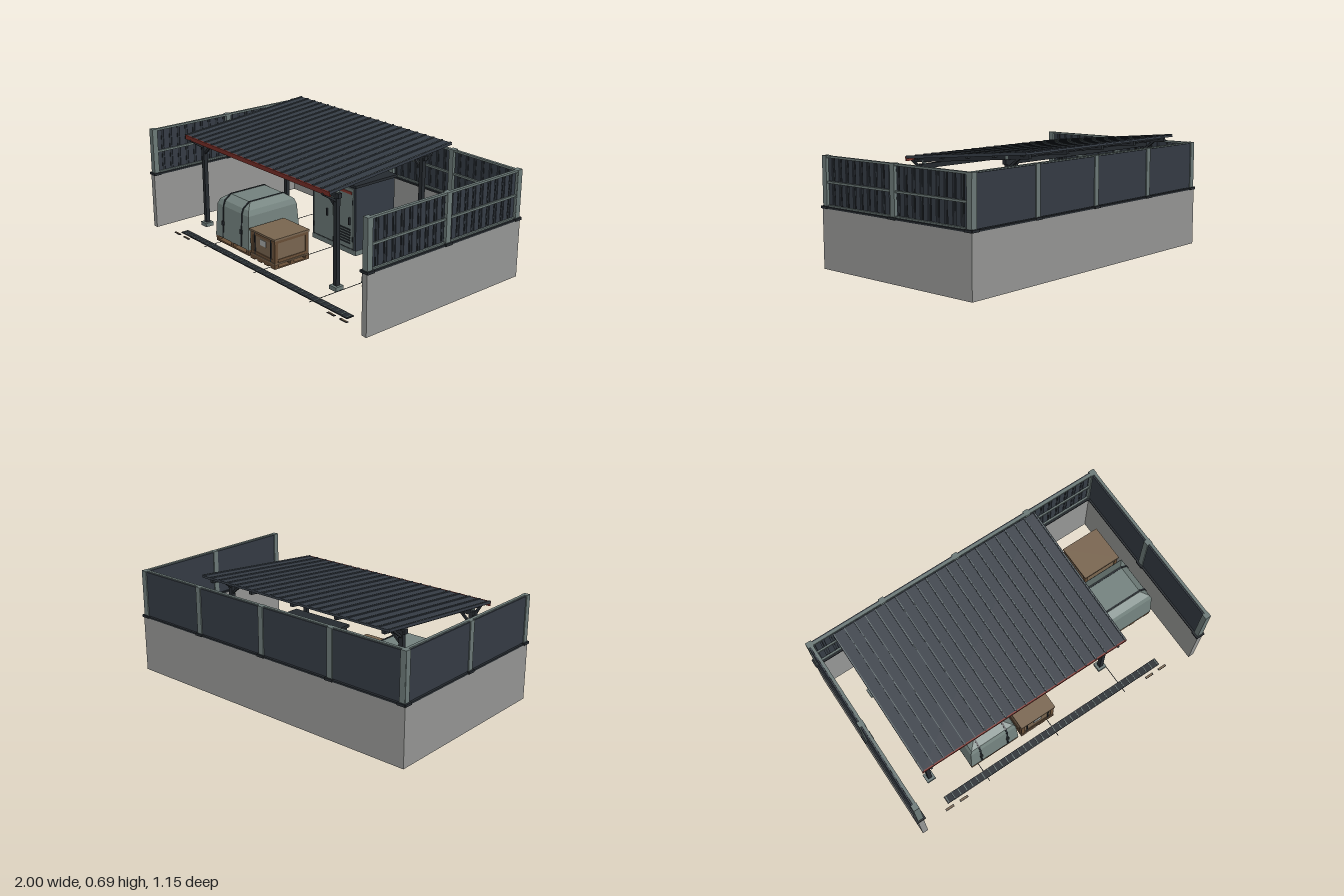
import * as THREE from 'three';

const paint = (name, color) => Object.assign(new THREE.MeshStandardMaterial({ color }), { name });

export function createModel() {
  const concrete = paint('concrete', 0x979896);
  const panel = paint('dark panel', 0x353c45);
  const frame = paint('black steel', 0x262b30);
  const trim = paint('grey green steel', 0x6d7b79);
  const tarp = paint('tarpaulin', 0x74837f);
  const wood = paint('crate wood', 0x7a6650);
  const darkWood = paint('pallet wood', 0x694f37);
  const red = paint('red', 0x83342c);
  const label = paint('label grey', 0xa9adab);
  tarp.flatShading = true;

  const root = new THREE.Group();
  const group = (name, x = 0, y = 0, z = 0, turn = 0, parent = root) => {
    const g = new THREE.Group();
    g.name = name;
    g.position.set(x, y, z);
    g.rotation.y = turn;
    parent.add(g);
    return g;
  };
  const add = (parent, name, geo, mat) => {
    const m = new THREE.Mesh(geo, mat);
    m.name = name;
    parent.add(m);
    return m;
  };
  // Box given by its size and centre
  const box = (parent, name, mat, w, h, d, x, y, z) => {
    const m = add(parent, name, new THREE.BoxGeometry(w, h, d), mat);
    m.position.set(x, y, z);
    return m;
  };
  // Square bar between two points
  const bar = (parent, name, mat, a, b, t) => {
    const p = new THREE.Vector3(...a), q = new THREE.Vector3(...b);
    const m = box(parent, name, mat, t, t, p.distanceTo(q), 0, 0, 0);
    m.position.copy(p).lerp(q, 0.5);
    m.lookAt(q);
    return m;
  };

  // Concrete walls on three sides
  const walls = group('walls');
  for (const s of [-1, 1]) box(walls, 'sideWall', concrete, 0.035, 0.345, 1.14, s * 0.9725, 0.1725, 0);
  box(walls, 'backWall', concrete, 1.91, 0.345, 0.035, 0, 0.1725, -0.5525);

  // Ribbed fence on each wall, rails towards local +z
  function fence(name, length, posts, x, z, turn) {
    const g = group(name, x, 0, z, turn);
    box(g, 'wallCap', frame, length + 0.02, 0.01, 0.044, 0, 0.347, 0);
    box(g, 'sheet', panel, length - 0.02, 0.275, 0.008, 0, 0.492, -0.008);
    const n = Math.round(length / 0.058), step = (length - 0.03) / n;
    for (let i = 0; i < n; i++) {
      const px = -length / 2 + 0.015 + (i + 0.5) * step;
      box(g, 'rib', panel, step * 0.6, 0.27, 0.006, px, 0.492, -0.002);
      box(g, 'groove', frame, 0.007, 0.27, 0.003, px + step / 2, 0.492, -0.003);
    }
    box(g, 'topRail', trim, length, 0.012, 0.018, 0, 0.629, 0.006);
    box(g, 'midRail', trim, length, 0.012, 0.01, 0, 0.488, 0.006);
    box(g, 'bottomRail', trim, length, 0.008, 0.012, 0, 0.357, 0.006);
    for (const p of posts) {
      box(g, 'fencePost', trim, 0.034, 0.286, 0.036, p, 0.492, 0);
      box(g, 'basePlate', frame, 0.05, 0.014, 0.056, p, 0.349, 0);
    }
  }
  fence('backFence', 1.94, [-0.968, -0.495, 0, 0.495, 0.968], 0, -0.55, 0);
  fence('leftFence', 1.13, [-0.55, 0, 0.55], 0.97, 0, Math.PI / 2);
  fence('rightFence', 1.13, [-0.55, 0, 0.55], -0.97, 0, Math.PI / 2);

  // Sloping ribbed roof
  const roof = group('roof', -0.1575, 0.6465, -0.05);
  roof.rotation.x = 0.0953;
  box(roof, 'roofSheet', panel, 1.355, 0.012, 0.914, 0, -0.01, 0);
  for (let i = 0; i <= 20; i++) {
    const rx = -0.672 + i * 0.0672;
    box(roof, 'roofRib', panel, 0.012, 0.006, 0.914, rx, -0.002, 0);
    box(roof, 'roofSeam', trim, 0.0025, 0.0012, 0.914, rx, 0.001, 0);
  }
  for (const rx of [-0.6225, -0.31, 0, 0.31, 0.6225]) box(roof, 'rafter', frame, 0.02, 0.024, 0.87, rx, -0.028, 0);
  for (const rz of [-0.4, -0.2, 0, 0.2, 0.4]) box(roof, 'purlin', frame, 1.3, 0.012, 0.018, 0, -0.02, rz);
  box(roof, 'redFascia', red, 1.355, 0.027, 0.008, 0, -0.016, 0.458);

  // Posts, beams and braces carrying the roof
  const carport = group('roofSupports');
  for (const [z, top] of [[0.31, 0.562], [-0.33, 0.635]]) {
    box(carport, 'crossBeam', frame, 1.3, 0.027, 0.024, -0.157, top - 0.013, z);
    const out = Math.sign(z) * 0.1;
    for (const [x, inward] of [[-0.78, 1], [0.465, -1]]) {
      box(carport, 'roofPost', frame, 0.026, top - 0.02, 0.026, x, top / 2, z);
      box(carport, 'postFoot', trim, 0.056, 0.024, 0.056, x, 0.012, z);
      box(carport, 'postBracket', trim, 0.02, 0.02, 0.018, x, top + 0.008, z);
      bar(carport, 'sideBrace', frame, [x, top - 0.09, z], [x + inward * 0.08, top - 0.02, z], 0.013);
      bar(carport, 'slopeBrace', frame, [x, top - 0.05, z], [x, top + (z > 0 ? 0.015 : 0.025), z + out], 0.013);
    }
  }

  // Equipment cabinet
  const cab = group('cabinet', 0, 0, -0.225);
  box(cab, 'plinth', trim, 0.395, 0.03, 0.31, 0, 0.015, 0);
  box(cab, 'cabinetBody', panel, 0.39, 0.395, 0.306, 0, 0.2275, 0);
  box(cab, 'cabinetTop', frame, 0.41, 0.016, 0.33, 0, 0.432, 0);
  for (const s of [-1, 1]) {
    box(cab, 'door', trim, 0.176, 0.375, 0.008, s * 0.09, 0.225, 0.156);
    box(cab, 'hinge', frame, 0.006, 0.03, 0.006, s * 0.176, 0.33, 0.162);
    box(cab, 'hinge', frame, 0.006, 0.03, 0.006, s * 0.176, 0.1, 0.162);
    box(cab, 'doorHandle', frame, 0.01, 0.045, 0.012, s * 0.1 + 0.05, 0.21, 0.164);
  }
  box(cab, 'redStripe', red, 0.33, 0.016, 0.004, 0, 0.385, 0.162);
  for (let i = 0; i < 6; i++) box(cab, 'louver', frame, 0.11, 0.008, 0.006, 0.1, 0.07 + i * 0.017, 0.162);

  // Pallet: top boards across stringers
  function pallet(parent, w, d, h) {
    for (const s of [-1, 0, 1]) {
      box(parent, 'stringer', darkWood, w, h * 0.55, 0.025, 0, h * 0.5, s * (d / 2 - 0.0125));
    }
    for (let i = 0; i < 7; i++) {
      const x = -w / 2 + 0.02 + (i * (w - 0.04)) / 6;
      box(parent, 'deckBoard', wood, 0.038, h * 0.24, d, x, h * 0.88, 0);
      if (i % 2 === 0) box(parent, 'footBoard', darkWood, 0.038, h * 0.24, d, x, h * 0.12, 0);
    }
  }

  // Tarpaulin-covered load: rectangular sections as [height, inset]
  const sections = [[0.036, 0], [0.24, 0.012], [0.272, 0.024], [0.304, 0.068]];
  function coveredLoad(name, x, z, turn) {
    const g = group(name, x, 0, z, turn), W = 0.1925, D = 0.1675;
    pallet(g, 0.38, 0.33, 0.045);
    const pos = [], idx = [];
    for (const [y, o] of sections) {
      pos.push(-W + o, y, D - o, W - o, y, D - o, W - o, y, -D + o, -W + o, y, -D + o);
    }
    for (let r = 0; r < 3; r++) {
      for (let i = 0; i < 4; i++) {
        const a = r * 4 + i, b = r * 4 + ((i + 1) % 4);
        idx.push(a, b, b + 4, a, b + 4, a + 4);
      }
    }
    idx.push(12, 13, 14, 12, 14, 15, 0, 2, 1, 0, 3, 2);
    const geo = new THREE.BufferGeometry();
    geo.setAttribute('position', new THREE.Float32BufferAttribute(pos, 3));
    geo.setIndex(idx);
    const cover = geo.toNonIndexed();
    cover.computeVertexNormals();
    add(g, 'tarpCover', cover, tarp);
    // Straps follow the cover's outline
    const right = sections.map(([y, o]) => new THREE.Vector2(W - o + 0.003, y + 0.003));
    const left = right.map((p) => new THREE.Vector2(-p.x, p.y)).reverse();
    for (const sz of [-0.0925, 0.0925]) {
      const strap = new THREE.ExtrudeGeometry(new THREE.Shape([...right, ...left]), { depth: 0.01, bevelEnabled: false });
      add(g, 'strap', strap.translate(0, 0, sz - 0.005), frame);
      for (const s of [-1, 1]) box(g, 'buckle', frame, 0.01, 0.026, 0.018, s * (W - 0.003), 0.13, sz);
    }
  }
  coveredLoad('coveredLoadRight', -0.375, 0.215, Math.PI / 2);
  coveredLoad('coveredLoadLeft', 0.737, 0.033, 0);

  // Wooden crate with battens and a label
  function crate(name, x, z, turn) {
    const g = group(name, x, 0, z, turn);
    pallet(g, 0.235, 0.25, 0.035);
    box(g, 'crateBody', wood, 0.222, 0.14, 0.238, 0, 0.105, 0);
    box(g, 'crateLid', wood, 0.24, 0.012, 0.256, 0, 0.179, 0);
    for (const s of [-1, 1]) {
      for (const t of [-1, 1]) box(g, 'cornerBatten', darkWood, 0.022, 0.138, 0.022, s * 0.104, 0.104, t * 0.112);
      for (const y of [0.046, 0.164]) {
        box(g, 'frontBatten', darkWood, 0.19, 0.018, 0.008, 0, y, s * 0.119);
        box(g, 'sideBatten', darkWood, 0.008, 0.018, 0.2, s * 0.111, y, 0);
      }
      box(g, 'steelBand', frame, 0.008, 0.138, 0.004, s * 0.075, 0.104, 0.122);
    }
    box(g, 'label', label, 0.055, 0.036, 0.004, 0, 0.125, 0.12);
  }
  crate('frontCrate', -0.07, 0.285, 0);
  crate('backCrate', 0.805, -0.28, Math.PI / 2);

  // Drain channel, ground plates and floor joints at the open front
  const ground = group('groundDetails');
  box(ground, 'drainChannel', frame, 1.55, 0.006, 0.048, 0, 0.003, 0.483);
  for (let i = 0; i <= 36; i++) box(ground, 'drainBar', trim, 0.005, 0.003, 0.042, -0.765 + i * 0.0425, 0.007, 0.483);
  for (const s of [-1, 1]) {
    for (const x of [0.68, 0.778]) box(ground, 'groundPlate', frame, 0.056, 0.004, 0.014, s * x, 0.002, 0.532);
    for (const x of [0.68, 0.778]) box(ground, 'groundPlateTop', wood, 0.048, 0.002, 0.009, s * x, 0.0045, 0.532);
  }
  for (const x of [-0.495, 0, 0.495]) box(ground, 'floorJoint', frame, 0.004, 0.002, 1.06, x, 0.001, 0);

  return root;
}
